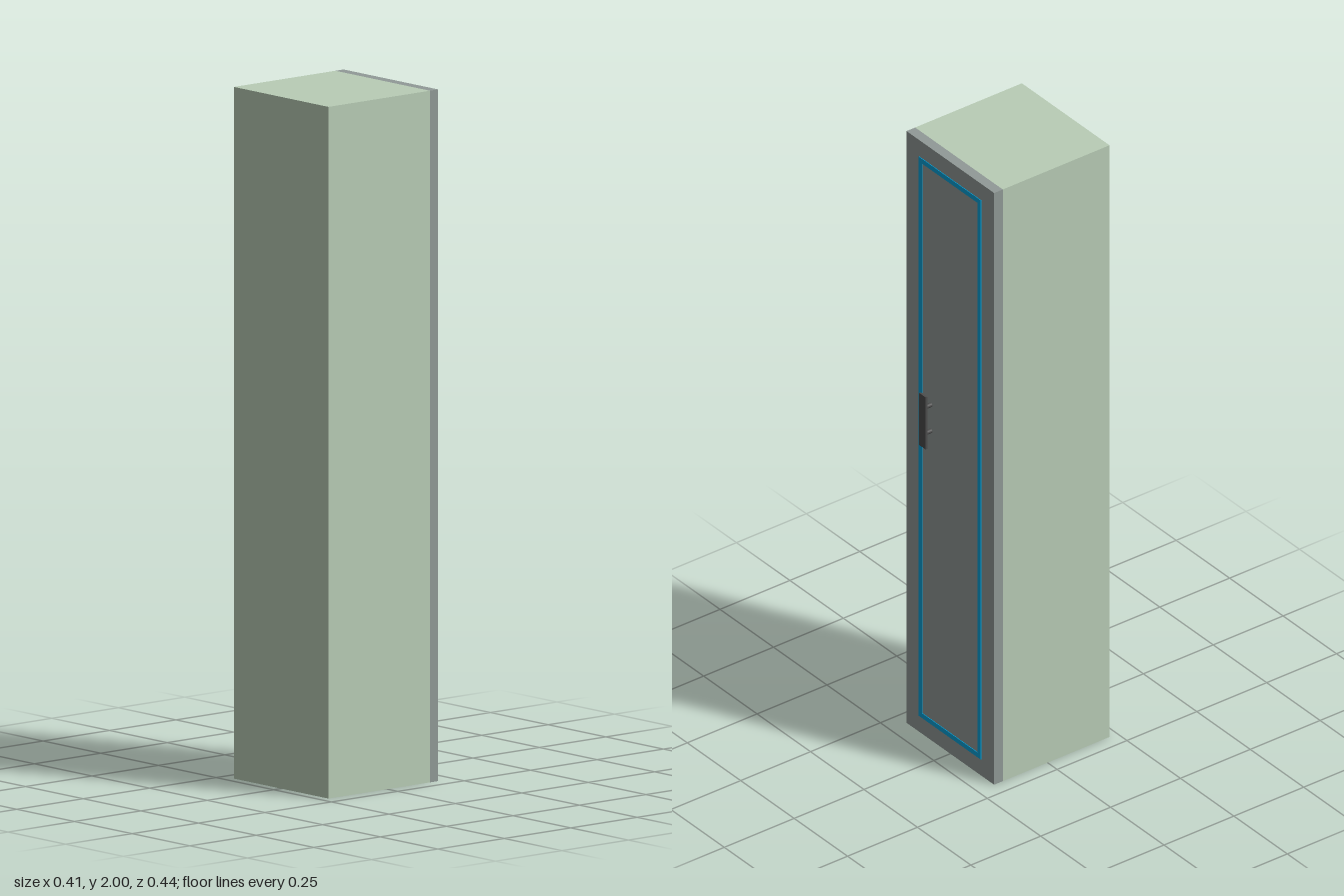
import * as THREE from 'three';

const WIDTH = 0.41, HEIGHT = 2;
const DOOR_FACE = -0.191, DOOR_BACK = -0.16, BODY_FRONT = 0.222;

const paint = (color) => new THREE.MeshStandardMaterial({ color });

function addBox(parent, name, material, w, h, d, x, y, z) {
  const mesh = new THREE.Mesh(new THREE.BoxGeometry(w, h, d), material);
  mesh.name = name;
  mesh.position.set(x, y, z);
  parent.add(mesh);
  return mesh;
}

export function createModel() {
  const model = new THREE.Group();
  model.name = 'locker';
  const green = paint(0xb9cdb6), grey = paint(0x919a97);
  const blue = paint(0x00a0d8), dark = paint(0x4c4c4c);

  // Cabinet body and the door slab closing its -z side
  const bodyDepth = BODY_FRONT - DOOR_BACK, doorDepth = DOOR_BACK - DOOR_FACE;
  addBox(model, 'cabinetBody', green, WIDTH, HEIGHT, bodyDepth, 0, HEIGHT / 2, DOOR_BACK + bodyDepth / 2);
  addBox(model, 'door', grey, WIDTH, HEIGHT, doorDepth, 0, HEIGHT / 2, DOOR_FACE + doorDepth / 2);

  // Thin coloured trim around the door panel
  const halfW = 0.145, halfH = 0.945, band = 0.016;
  const outline = new THREE.Shape([
    new THREE.Vector2(-halfW, -halfH), new THREE.Vector2(halfW, -halfH),
    new THREE.Vector2(halfW, halfH), new THREE.Vector2(-halfW, halfH),
  ]);
  const iw = halfW - band, ih = halfH - band;
  outline.holes.push(new THREE.Path([
    new THREE.Vector2(-iw, -ih), new THREE.Vector2(-iw, ih),
    new THREE.Vector2(iw, ih), new THREE.Vector2(iw, -ih),
  ]));
  const trim = new THREE.Mesh(
    new THREE.ExtrudeGeometry(outline, { depth: 0.003, bevelEnabled: false }), blue);
  trim.name = 'doorTrim';
  trim.position.set(0, HEIGHT / 2, DOOR_FACE - 0.002);
  model.add(trim);

  // Handle: flat grip carried on two round posts
  const handle = new THREE.Group();
  handle.name = 'handle';
  handle.position.set(0.09, 1.09, 0);
  addBox(handle, 'handleGrip', dark, 0.03, 0.176, 0.006, 0, 0, -0.219);
  const postLength = 0.03;
  for (const y of [-0.044, 0.044]) {
    const post = new THREE.Mesh(new THREE.CylinderGeometry(0.0068, 0.0068, postLength, 16), dark);
    post.name = 'handlePost';
    post.rotation.x = Math.PI / 2;
    post.position.set(0, y, DOOR_FACE + 0.002 - postLength / 2);
    handle.add(post);
  }
  model.add(handle);

  return model;
}
